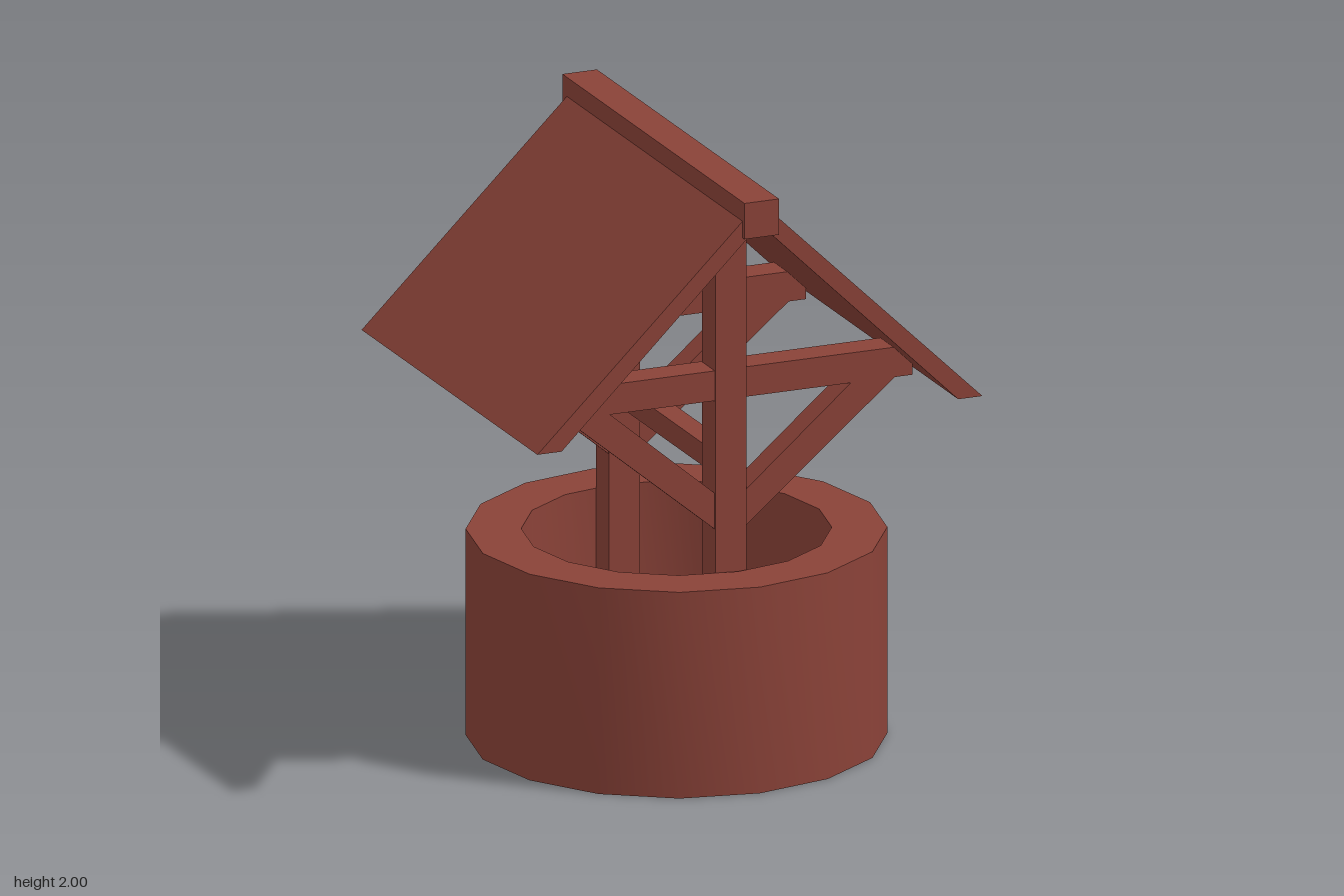
import * as THREE from 'three';
import { toCreasedNormals } from 'three/addons/utils/BufferGeometryUtils.js';

const material = new THREE.MeshStandardMaterial({ color: 0x8a4238 });

function add(parent, name, geometry) {
  const mesh = new THREE.Mesh(geometry, material);
  mesh.name = name;
  parent.add(mesh);
  return mesh;
}

// Box given by its minimum and maximum corners
function box(parent, name, [x0, y0, z0], [x1, y1, z1]) {
  const mesh = add(parent, name, new THREE.BoxGeometry(x1 - x0, y1 - y0, z1 - z0));
  mesh.position.set((x0 + x1) / 2, (y0 + y1) / 2, (z0 + z1) / 2);
}

// Prism from an x-y outline, spanning z0 to z1; side = -1 mirrors it in x
function prism(parent, name, outline, z0, z1, side) {
  const shape = new THREE.Shape(outline.map(([x, y]) => new THREE.Vector2(x * side, y)));
  const geometry = new THREE.ExtrudeGeometry(shape, { depth: z1 - z0, bevelEnabled: false });
  add(parent, name, geometry.translate(0, 0, z0));
}

export function createModel() {
  const model = new THREE.Group();
  model.name = 'well';

  // Round hollow wall with a closed bottom
  const profile = [[0, 0], [0.672, 0], [0.672, 0.69], [0.495, 0.69], [0.495, 0.05], [0, 0.05]]
    .map(([r, y]) => new THREE.Vector2(r, y));
  const wall = add(model, 'wellWall', toCreasedNormals(new THREE.LatheGeometry(profile, 16), 0.6));
  wall.position.set(0.017, 0, 0.007);

  // Two timber frames: post, cross beam and a pair of braces
  const braceOutline = [[0.03, 0.814], [0.57, 1.265], [0.57, 1.3], [0.46, 1.3], [0.03, 0.934]];
  const frames = [
    { name: 'frontFrame', post: [0.38, 0.488], beam: [0.375, 0.483], brace: [0.385, 0.481] },
    { name: 'backFrame', post: [-0.475, -0.367], beam: [-0.481, -0.373], brace: [-0.469, -0.373] },
  ];
  for (const { name, post, beam, brace } of frames) {
    const frame = new THREE.Group();
    frame.name = name;
    box(frame, 'post', [-0.055, 0.04, post[0]], [0.052, 1.9, post[1]]);
    box(frame, 'crossBeam', [-0.625, 1.265, beam[0]], [0.63, 1.365, beam[1]]);
    for (const side of [1, -1]) {
      prism(frame, side > 0 ? 'leftBrace' : 'rightBrace', braceOutline, brace[0], brace[1], side);
    }
    model.add(frame);
  }

  // Bar joining the two posts
  box(model, 'axleBar', [-0.038, 1.005, -0.4], [0.038, 1.08, 0.4]);

  // Roof slabs with level-cut eaves, and the ridge beam
  const slabOutline = [[0.03, 1.965], [0.03, 1.889], [0.688, 1.245], [0.772, 1.245]];
  for (const side of [1, -1]) {
    prism(model, side > 0 ? 'leftRoof' : 'rightRoof', slabOutline, -0.697, 0.718, side);
  }
  box(model, 'ridgeBeam', [-0.06, 1.88, -0.733], [0.06, 2, 0.733]);

  return model;
}
